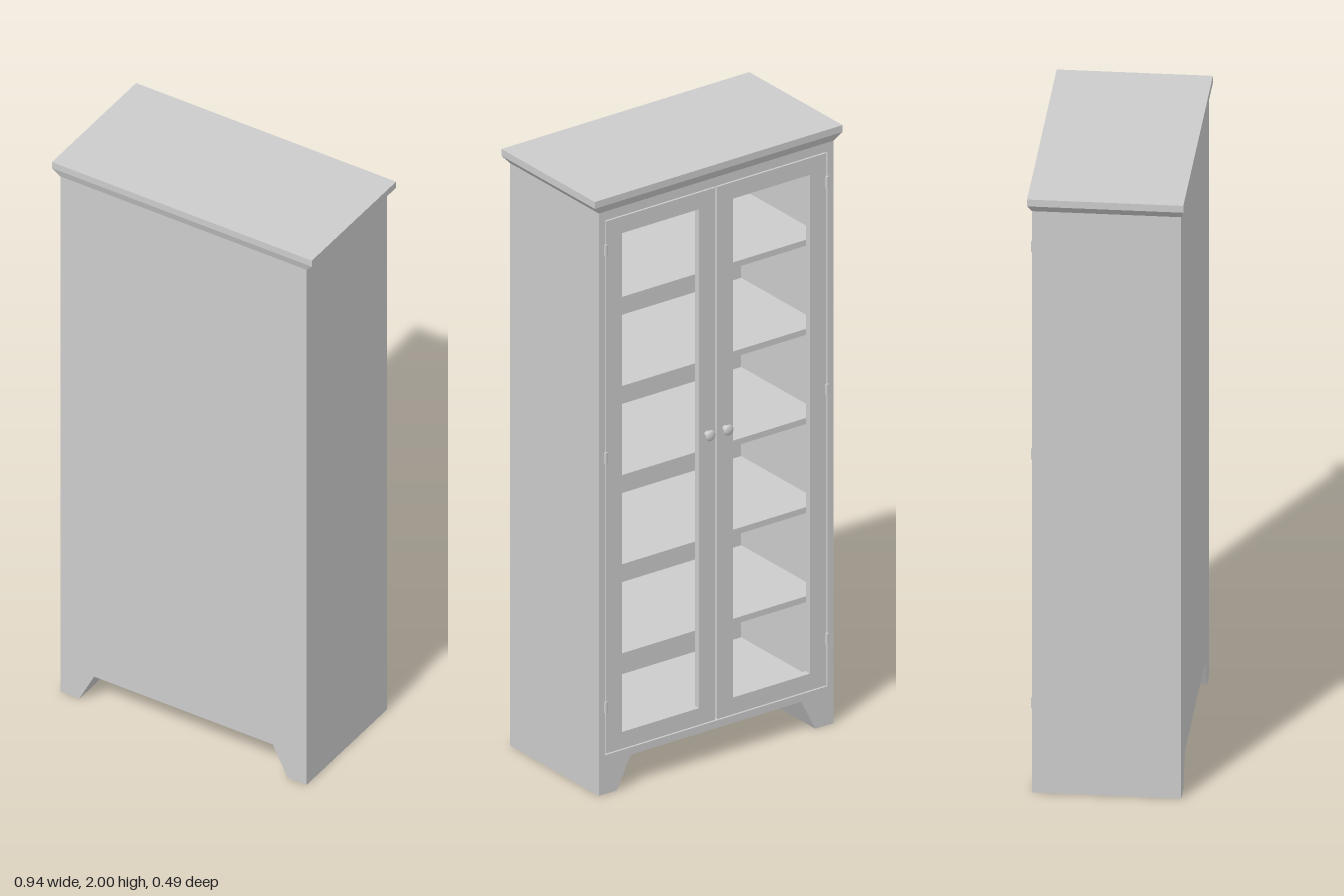
import * as THREE from 'three';

const material = new THREE.MeshStandardMaterial({ color: 0xcccccc });

const FACE = -0.222;   // plane of the doors
const BACK = 0.233;    // outside of the back panel
const HALF = 0.443;    // half width of the carcass
const WALL = 0.023;
const BASE = 0.105;    // underside of the cupboard
const TOP = 1.95;

function add(parent, name, geometry, x = 0, y = 0, z = 0) {
  const mesh = new THREE.Mesh(geometry, material);
  mesh.name = name;
  mesh.position.set(x, y, z);
  parent.add(mesh);
  return mesh;
}

// Box given by its lower and upper limits
function block(parent, name, [x0, x1], [y0, y1], [z0, z1]) {
  return add(parent, name, new THREE.BoxGeometry(x1 - x0, y1 - y0, z1 - z0),
    (x0 + x1) / 2, (y0 + y1) / 2, (z0 + z1) / 2);
}

// Flat outline extruded along z from z0 to z1
function slab(parent, name, shape, z0, z1) {
  const geometry = new THREE.ExtrudeGeometry(shape, { depth: z1 - z0, bevelEnabled: false });
  return add(parent, name, geometry, 0, 0, z0);
}

function outline(points) {
  return new THREE.Shape(points.map(([x, y]) => new THREE.Vector2(x, y)));
}

function rectangle(x0, x1, y0, y1) {
  return outline([[x0, y0], [x1, y0], [x1, y1], [x0, y1]]);
}

function createCarcass() {
  const group = new THREE.Group();
  group.name = 'carcass';
  for (const s of [-1, 1]) {
    // Side wall and the splayed foot below it
    const xs = [s * HALF, s * (HALF - WALL)].sort((a, b) => a - b);
    block(group, 'sideWall', xs, [BASE, TOP], [FACE, BACK]);
    const foot = outline([[s * 0.375, 0], [s * HALF, 0], [s * HALF, BASE], [s * 0.322, BASE]]);
    slab(group, 'foot', foot, FACE, BACK);
  }
  const inner = [-HALF + WALL, HALF - WALL];
  block(group, 'bottomPanel', inner, [BASE, 0.13], [FACE, BACK]);
  block(group, 'topPanel', inner, [1.92, TOP], [FACE, BACK]);
  block(group, 'backPanel', inner, [0.13, 1.92], [BACK - 0.015, BACK]);

  // Evenly spaced shelves
  for (let i = 1; i <= 5; i++) {
    const y = 0.13 + (1.79 * i) / 6;
    block(group, 'shelf', inner, [y - 0.01, y + 0.01], [FACE + 0.026, BACK - 0.015]);
  }
  return group;
}

function createCornice() {
  const group = new THREE.Group();
  group.name = 'cornice';
  const [x, z0, z1] = [0.468, -0.235, 0.242];
  block(group, 'corniceSlab', [-x, x], [1.977, 2], [z0, z1]);

  // Sloping moulding: a box whose lower corners are drawn in to the carcass
  const moulding = block(group, 'corniceMoulding', [-x, x], [TOP, 1.977], [z0, z1]);
  const p = moulding.geometry.attributes.position;
  for (let i = 0; i < p.count; i++) {
    if (p.getY(i) > 0) continue;
    p.setX(i, Math.sign(p.getX(i)) * HALF);
    p.setZ(i, (p.getZ(i) < 0 ? FACE : BACK) - moulding.position.z);
  }
  moulding.geometry = moulding.geometry.toNonIndexed();
  moulding.geometry.computeVertexNormals();
  return group;
}

function createDoor(s) {
  const group = new THREE.Group();
  group.name = s > 0 ? 'leftDoor' : 'rightDoor';

  // Open frame
  const order = (a, b) => (s > 0 ? [a, b] : [-b, -a]);
  const frame = rectangle(...order(0.004, 0.416), 0.134, 1.916);
  frame.holes.push(rectangle(...order(0.064, 0.355), 0.19, 1.86));
  slab(group, 'doorFrame', frame, FACE, FACE + 0.022);

  // Round knob, turned to point out of the door
  const profile = [[0.011, 0], [0.008, 0.004], [0.008, 0.011], [0.014, 0.012], [0.0175, 0.015],
    [0.0175, 0.019], [0.014, 0.0225], [0.007, 0.0245], [0, 0.025]];
  const knob = new THREE.LatheGeometry(profile.map(([r, h]) => new THREE.Vector2(r, h)), 24);
  add(group, 'knob', knob, s * 0.034, 1.1, FACE).rotation.x = -Math.PI / 2;

  // Hinge barrels on the outer edge
  for (const y of [0.29, 1.125, 1.82]) {
    add(group, 'hinge', new THREE.CylinderGeometry(0.006, 0.006, 0.036, 16), s * 0.418, y, FACE);
  }
  return group;
}

export function createModel() {
  const model = new THREE.Group();
  model.name = 'displayCabinet';
  model.add(createCarcass(), createCornice(), createDoor(1), createDoor(-1));
  return model;
}
